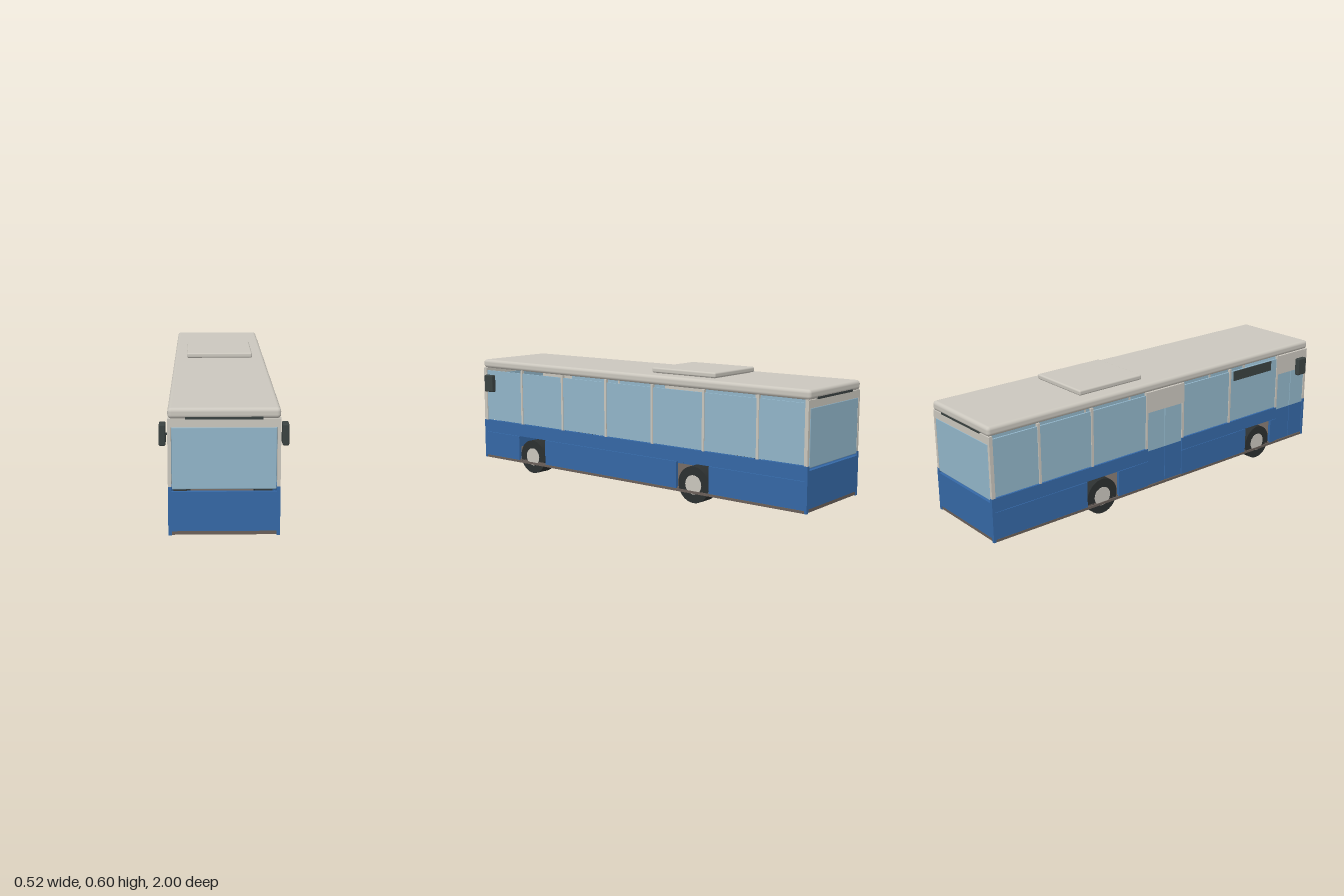
import * as THREE from 'three';
import { RoundedBoxGeometry } from 'three/addons/geometries/RoundedBoxGeometry.js';

const mat = (name, color) => {
  const m = new THREE.MeshStandardMaterial({ color });
  m.name = name;
  return m;
};

export function createModel() {
  const bus = new THREE.Group();
  bus.name = 'bus';
  const blue = mat('body blue', 0x3568a6);
  const beige = mat('warm grey', 0xcbc7be);
  const glass = mat('window glass', 0x92b6ca);
  const dark = mat('dark trim', 0x3a4241);
  const rubber = mat('tyre rubber', 0x2c3030);
  const brown = mat('chassis brown', 0x6a605a);

  const add = (name, geometry, material) => {
    const mesh = new THREE.Mesh(geometry, material);
    mesh.name = name;
    bus.add(mesh);
    return mesh;
  };
  // Box given by its limits on each axis; a radius rounds its edges
  const block = (name, material, [x0, x1], [y0, y1], [z0, z1], radius = 0) => {
    const size = [Math.abs(x1 - x0), y1 - y0, z1 - z0];
    const geo = radius ? new RoundedBoxGeometry(...size, 3, radius) : new THREE.BoxGeometry(...size);
    const mesh = add(name, geo, material);
    mesh.position.set((x0 + x1) / 2, (y0 + y1) / 2, (z0 + z1) / 2);
    return mesh;
  };

  // Chassis, roof and roof unit
  block('floor', brown, [-0.22, 0.22], [0.048, 0.064], [-0.995, 0.995]);
  block('roof', beige, [-0.225, 0.225], [0.53, 0.574], [-1, 1], 0.016);
  block('roofUnit', beige, [-0.163, 0.163], [0.577, 0.602], [-0.475, -0.11], 0.008);
  block('roofUnitBase', beige, [-0.15, 0.15], [0.57, 0.58], [-0.46, -0.125]);

  // Matching front and back ends
  for (const [end, s] of [['front', 1], ['back', -1]]) {
    const depth = (a, b) => (s > 0 ? [a, b] : [-b, -a]);
    block(end + 'Panel', blue, [-0.214, 0.214], [0.064, 0.23], depth(0.982, 0.998));
    block(end + 'Header', beige, [-0.226, 0.226], [0.495, 0.53], depth(0.98, 0.996));
    block(end + 'Window', glass, [-0.21, 0.21], [0.24, 0.496], depth(0.986, 0.997), 0.004);
    block(end + 'Sign', dark, [-0.155, 0.155], [0.528, 0.545], depth(0.98, 0.998));
    for (const x of [-1, 1]) {
      block(end + 'CornerPost', beige, [x * 0.212, x * 0.226], [0.25, 0.53], depth(0.982, 0.996));
      block(end + 'CornerPanel', blue, [x * 0.212, x * 0.226], [0.045, 0.25], depth(0.985, 0.998));
    }
  }

  // Sides: stretches of [z0, z1] that run between arches and doors
  const doors = [[-0.125, 0.095], [0.775, 0.985]];
  const sides = {
    left: {
      x: 1,
      skirts: [[-0.985, -0.49], [-0.305, 0.545], [0.735, 0.985]],
      belts: [[-0.985, 0.985]],
      posts: [-0.985, -0.745, -0.455, -0.16, 0.13, 0.42, 0.71, 0.98],
      windows: [[-0.98, -0.75], [-0.74, -0.46], [-0.45, -0.165], [-0.155, 0.125],
        [0.135, 0.415], [0.425, 0.705], [0.715, 0.978]],
    },
    right: {
      x: -1,
      skirts: [[-0.985, -0.49], [-0.305, -0.125], [0.095, 0.545], [0.735, 0.775]],
      belts: [[-0.985, -0.125], [0.095, 0.775]],
      posts: [-0.985, -0.745, -0.455, -0.13, 0.1, 0.42, 0.77],
      windows: [[-0.98, -0.75], [-0.74, -0.46], [-0.45, -0.135], [0.105, 0.415], [0.425, 0.765]],
    },
  };
  for (const [side, { x, skirts, belts, posts, windows }] of Object.entries(sides)) {
    const wall = [x * 0.212, x * 0.226];
    for (const z of skirts) block(side + 'Skirt', blue, wall, [0.058, 0.184], z);
    for (const z of belts) block(side + 'Belt', blue, wall, [0.186, 0.25], z);
    for (const z of posts) block(side + 'Post', beige, wall, [0.25, 0.532], [z - 0.006, z + 0.006]);
    for (const z of windows) block(side + 'Window', glass, [x * 0.214, x * 0.222], [0.253, 0.517], z);
    block(side + 'Sill', brown, [x * 0.212, x * 0.225], [0.045, 0.057], [-0.985, 0.985]);

    // Mirror on a short arm
    block(side + 'Mirror', dark, [x * 0.235, x * 0.262], [0.408, 0.497], [0.895, 0.955], 0.006);
    block(side + 'MirrorArm', dark, [x * 0.222, x * 0.238], [0.448, 0.457], [0.92, 0.93]);

    // Wheels
    for (const z of [0.64, -0.4]) {
      const tyre = add(side + 'Tyre', new THREE.CylinderGeometry(0.086, 0.086, 0.08, 40), rubber);
      tyre.position.set(x * 0.18, 0.086, z);
      const hub = add(side + 'Hub', new THREE.CylinderGeometry(0.045, 0.045, 0.082, 32), beige);
      hub.position.set(x * 0.181, 0.086, z);
      tyre.rotation.z = hub.rotation.z = Math.PI / 2;
    }
  }

  // Double-leaf doors on the right side
  for (const [z0, z1] of doors) {
    const mid = (z0 + z1) / 2;
    block('doorHeader', beige, [-0.212, -0.225], [0.43, 0.53], [z0, z1]);
    for (const z of [[z0 + 0.002, mid - 0.002], [mid + 0.002, z1 - 0.002]]) {
      block('doorLeaf', blue, [-0.212, -0.223], [0.06, 0.235], z);
      block('doorGlass', glass, [-0.213, -0.222], [0.235, 0.43], z);
    }
  }

  // Route sign on the right side
  block('sideSign', dark, [-0.219, -0.225], [0.465, 0.515], [0.445, 0.72]);

  return bus;
}
